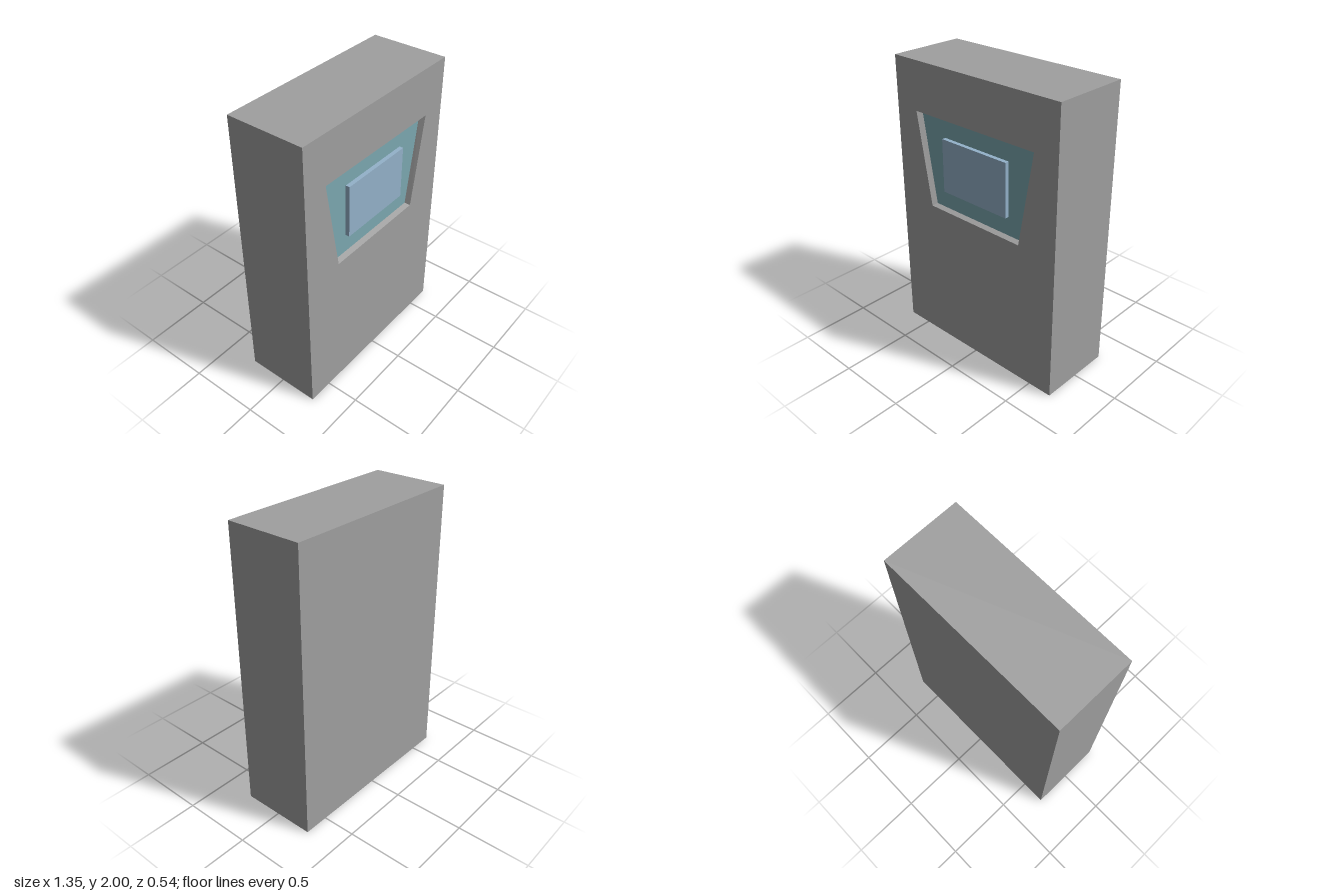
import * as THREE from 'three';

const W = 1.35, H = 2, D = 0.54;
const FRONT = D / 2, FLOOR = FRONT - 0.037;

// Trapezoid corners, counter-clockwise seen from the front
const trapezoid = (top, bottom, yTop, yBottom) => [
  new THREE.Vector2(-bottom, yBottom), new THREE.Vector2(bottom, yBottom),
  new THREE.Vector2(top, yTop), new THREE.Vector2(-top, yTop),
];

export function createModel() {
  const grey = new THREE.MeshStandardMaterial({ color: 0xa0a0a0 });
  grey.name = 'casingGrey';
  const teal = new THREE.MeshStandardMaterial({ color: 0x7ca8b0 });
  teal.name = 'panelTeal';
  const blue = new THREE.MeshStandardMaterial({ color: 0x94b2ca });
  blue.name = 'screenBlue';

  const model = new THREE.Group();
  model.name = 'console';
  const add = (name, geometry, material, x = 0, y = 0, z = 0) => {
    const mesh = new THREE.Mesh(geometry, material);
    mesh.name = name;
    mesh.position.set(x, y, z);
    model.add(mesh);
  };

  const rim = trapezoid(0.497, 0.387, 1.665, 1.02);
  const base = trapezoid(0.48, 0.375, 1.655, 1.03);

  // Casing: a box without its front side
  const box = new THREE.BoxGeometry(W, H, D);
  const index = Array.from(box.index.array);
  index.splice(24, 6);
  box.setIndex(index);
  box.clearGroups();
  add('casing', box, grey, 0, H / 2, 0);

  // Front side with the recess opening
  const front = new THREE.Shape([
    new THREE.Vector2(-W / 2, 0), new THREE.Vector2(W / 2, 0),
    new THREE.Vector2(W / 2, H), new THREE.Vector2(-W / 2, H),
  ]);
  front.holes.push(new THREE.Path(rim.slice().reverse()));
  add('frontFace', new THREE.ShapeGeometry(front), grey, 0, 0, FRONT);

  // Sloping recess walls, facing inward
  const walls = [];
  for (let i = 0; i < 4; i++) {
    const j = (i + 1) % 4;
    const a = [rim[i].x, rim[i].y, FRONT], b = [rim[j].x, rim[j].y, FRONT];
    const c = [base[j].x, base[j].y, FLOOR], d = [base[i].x, base[i].y, FLOOR];
    walls.push(...a, ...b, ...c, ...a, ...c, ...d);
  }
  const wallGeometry = new THREE.BufferGeometry();
  wallGeometry.setAttribute('position', new THREE.Float32BufferAttribute(walls, 3));
  wallGeometry.computeVertexNormals();
  add('recessWalls', wallGeometry, grey);

  // Recess floor and raised screen
  add('recessPanel', new THREE.ShapeGeometry(new THREE.Shape(base)), teal, 0, 0, FLOOR);
  add('screen', new THREE.BoxGeometry(0.545, 0.37, 0.028), blue, 0, 1.345, FLOOR + 0.014);

  return model;
}
